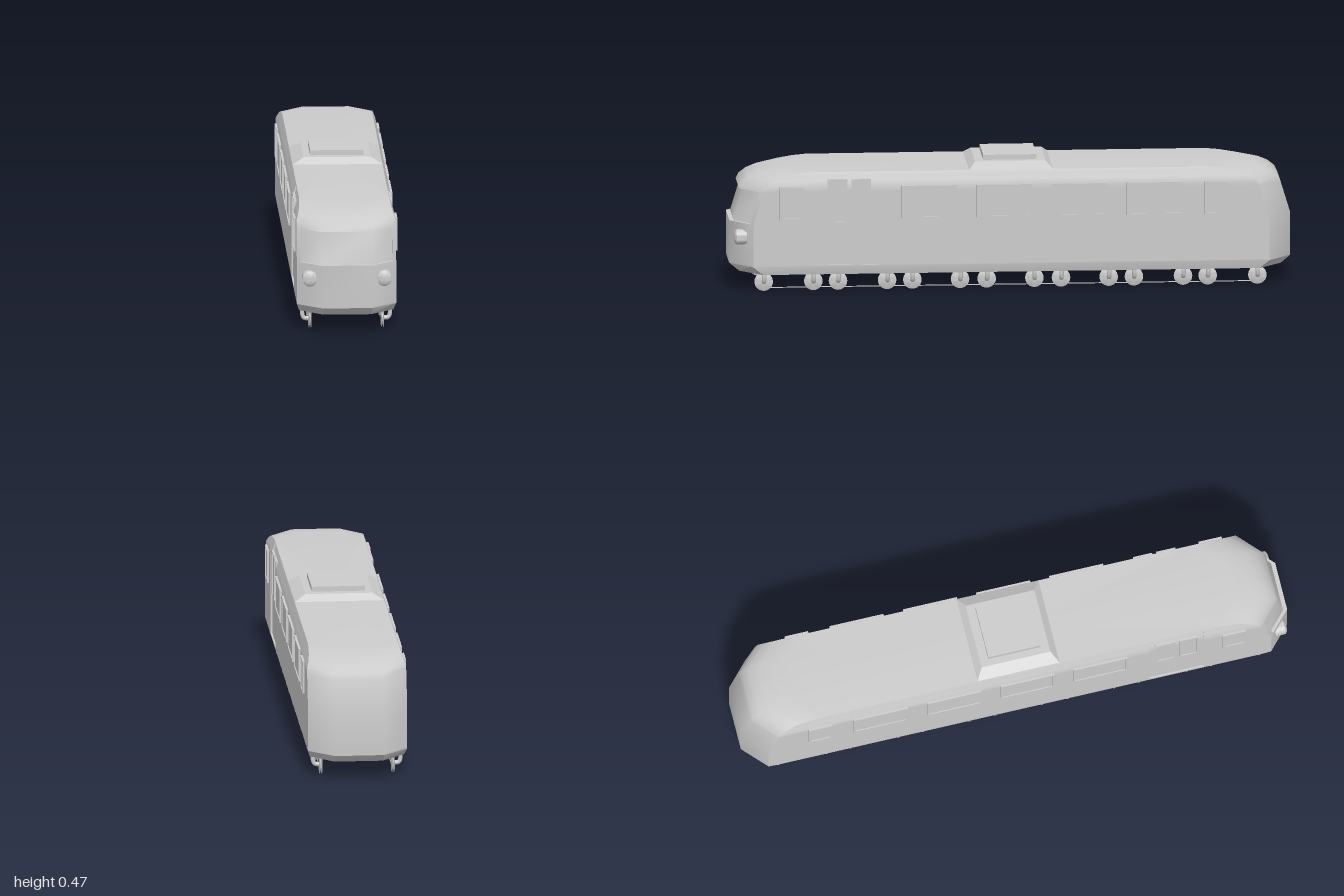
import * as THREE from 'three';
import { toCreasedNormals } from 'three/addons/utils/BufferGeometryUtils.js';

const grey = new THREE.MeshStandardMaterial({ color: 0xcccccc, side: THREE.DoubleSide });

function add(parent, name, geometry, x = 0, y = 0, z = 0) {
  const mesh = new THREE.Mesh(geometry, grey);
  mesh.name = name;
  mesh.position.set(x, y, z);
  parent.add(mesh);
  return mesh;
}

// Car body: plan outlines stacked by height, with recesses for the windshield (g) and doors (d)
function bodyGeometry() {
  // height, half width, end reach, active recesses
  const rows = [
    [0.065, 0.168, 0.965, ''], [0.095, 0.177, 1, ''],
    [0.1, 0.177, 1, ''], [0.1, 0.177, 1, 'd'],
    [0.25, 0.177, 1, 'd'], [0.25, 0.177, 1, 'dg'],
    [0.365, 0.177, 0.965, 'dg'], [0.365, 0.177, 0.965, 'd'],
    [0.385, 0.177, 0.955, 'd'], [0.405, 0.17, 0.93, 'd'], [0.42, 0.165, 0.895, 'd'],
    [0.43, 0.162, 0.84, 'd'], [0.43, 0.162, 0.84, ''], [0.435, 0.16, 0.79, ''],
  ];
  // plan half from front to back: x, end sign (0 = fixed z), setback or z, recess
  const half = [
    [0.09, 1, 0, 'g'], [0.165, 1, 0.069, 'g'], [0.165, 1, 0.069, '-'], [0.177, 1, 0.08, '-'],
    [0.177, 0, 0.675, '-'], [0.177, 0, 0.675, 'd'], [0.177, 0, 0.475, 'd'], [0.177, 0, 0.475, '-'],
    [0.177, -1, 0.08, '-'], [0.09, -1, 0, '-'],
  ];
  const loop = [...half, ...half.map(([x, ...r]) => [-x, ...r]).reverse()];
  const n = loop.length;
  const pos = [], index = [];
  for (const [y, w, end, cuts] of rows) {
    for (const [px, sign, d, cut] of loop) {
      let x = px * w / 0.177;
      let z = sign ? sign * (end - d) : d;
      if (cuts.includes(cut)) {
        if (cut === 'g') z -= 0.015;
        else x -= Math.sign(x) * 0.006;
      }
      pos.push(x, y, z);
    }
  }
  for (let r = 0; r < rows.length - 1; r++) {
    for (let c = 0; c < n; c++) {
      const a = r * n + c, b = r * n + (c + 1) % n;
      index.push(a, b, b + n, a, b + n, a + n);
    }
  }
  // floor and roof caps
  const top = (rows.length - 1) * n, floorMid = rows.length * n;
  pos.push(0, rows[0][0], 0, 0, rows[rows.length - 1][0], 0);
  for (let c = 0; c < n; c++) {
    const next = (c + 1) % n;
    index.push(floorMid, next, c, floorMid + 1, top + c, top + next);
  }
  const geo = new THREE.BufferGeometry();
  geo.setAttribute('position', new THREE.Float32BufferAttribute(pos, 3));
  geo.setIndex(index);
  return toCreasedNormals(geo, 0.8);
}

function rectangle(Target, w, h) {
  const p = new Target();
  p.moveTo(-w / 2, -h / 2);
  p.lineTo(w / 2, -h / 2);
  p.lineTo(w / 2, h / 2);
  p.lineTo(-w / 2, h / 2);
  p.closePath();
  return p;
}

// Raised frame with a slightly sunken pane, facing sideways
function sideWindow(parent, name, side, x, y, z, w, h, depth, border) {
  const group = new THREE.Group();
  group.name = name;
  group.position.set(side * x, y, z);
  group.rotation.y = side * Math.PI / 2;
  const outline = rectangle(THREE.Shape, w, h);
  outline.holes.push(rectangle(THREE.Path, w - 2 * border, h - 2 * border));
  add(group, 'windowFrame', new THREE.ExtrudeGeometry(outline, { depth, bevelEnabled: false }));
  const pane = depth * 0.6;
  add(group, 'windowPane', new THREE.BoxGeometry(w - 2 * border, h - 2 * border, pane), 0, 0, pane / 2);
  parent.add(group);
}

export function createModel() {
  const model = new THREE.Group();
  model.name = 'railCar';
  add(model, 'body', bodyGeometry());

  // Roof hump with sloped sides, and the unit on top of it
  const hump = new THREE.BoxGeometry(0.32, 0.022, 0.3).toNonIndexed();
  const p = hump.attributes.position;
  for (let i = 0; i < p.count; i++) {
    if (p.getY(i) > 0) {
      p.setX(i, p.getX(i) * 0.75);
      p.setZ(i, p.getZ(i) * 0.84);
    }
  }
  hump.computeVertexNormals();
  add(model, 'roofHump', hump, 0, 0.446, 0);
  add(model, 'roofUnit', new THREE.BoxGeometry(0.19, 0.018, 0.19), 0, 0.466, 0);

  // Headlight with a gently domed lens
  const lamp = toCreasedNormals(new THREE.LatheGeometry(
    [[0.028, 0], [0.028, 0.036], [0.022, 0.041], [0.012, 0.044], [0, 0.045]]
      .map(([r, y]) => new THREE.Vector2(r, y)), 24), 0.7);
  lamp.rotateX(Math.PI / 2);

  // Flanged wheel with a groove for the rail
  const wheel = toCreasedNormals(new THREE.LatheGeometry(
    [[0, -0.005], [0.03, -0.005], [0.033, -0.003], [0.022, -0.001], [0.022, 0.001],
      [0.033, 0.003], [0.03, 0.005], [0, 0.005]]
      .map(([r, y]) => new THREE.Vector2(r, y)), 24), 0.6);
  wheel.rotateZ(Math.PI / 2);

  const windows = [[0.784, 0.085], [0.294, 0.198], [0.027, 0.198],
    [-0.241, 0.198], [-0.51, 0.198], [-0.73, 0.086]];
  const wheelZ = [0.88, 0.703, 0.615, 0.44, 0.35, 0.18, 0.085];

  for (const side of [1, -1]) {
    const label = side > 0 ? 'left' : 'right';
    for (const [z, w] of windows) {
      sideWindow(model, label + 'Window', side, 0.176, 0.326, z, w, 0.119, 0.009, 0.007);
    }
    for (const z of [0.62, 0.535]) {
      sideWindow(model, label + 'DoorWindow', side, 0.166, 0.33, z, 0.07, 0.16, 0.009, 0.006);
    }
    add(model, label + 'Headlight', lamp, side * 0.132, 0.198, 0.942);

    // Curved hangers carrying the wheels
    const hangerPath = new THREE.CatmullRomCurve3(
      [[0.156, 0.075], [0.156, 0.05], [0.15, 0.037], [0.128, 0.034]]
        .map(([x, y]) => new THREE.Vector3(side * x, y, 0)));
    const hanger = new THREE.TubeGeometry(hangerPath, 14, 0.008, 10);
    for (const z of [...wheelZ, ...wheelZ.map(v => -v)]) {
      add(model, label + 'Wheel', wheel, side * 0.129, 0.033, z);
      add(model, label + 'WheelHanger', hanger, 0, 0, z);
    }
    add(model, label + 'Rail', new THREE.BoxGeometry(0.002, 0.003, 1.76), side * 0.129, 0.0115, 0);
  }
  return model;
}
